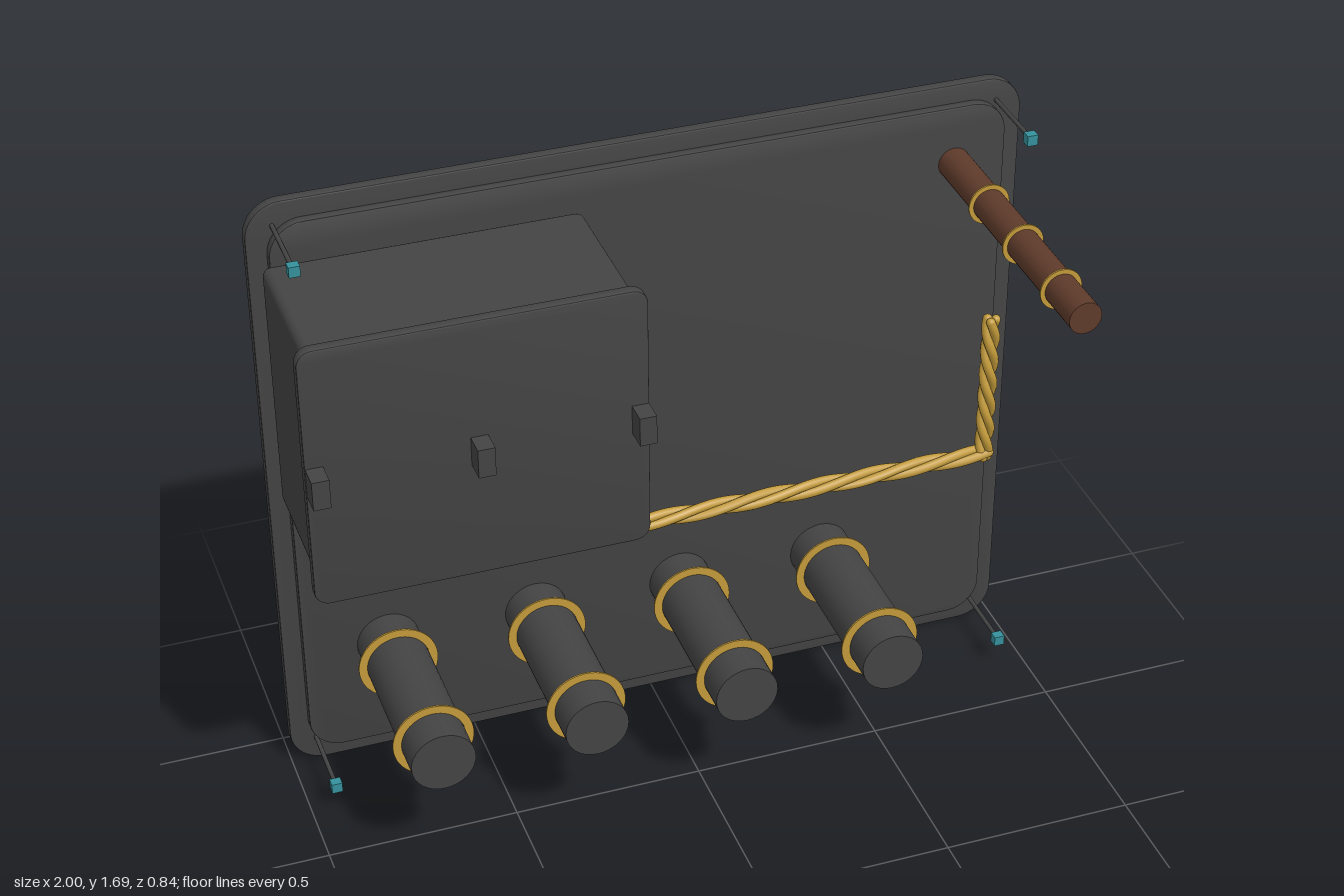
import * as THREE from 'three';
import { toCreasedNormals } from 'three/addons/utils/BufferGeometryUtils.js';
import { RoundedBoxGeometry } from 'three/addons/geometries/RoundedBoxGeometry.js';

const material = (name, color) => Object.assign(new THREE.MeshStandardMaterial({ color }), { name });

export function createModel() {
  const root = new THREE.Group();
  root.name = 'wallPanel';
  const iron = material('darkIron', 0x444444);
  const gold = material('brass', 0xc29a3a);
  const brown = material('brownPipe', 0x5f3b2b);
  const teal = material('teal', 0x35909c);

  const add = (name, geometry, mat, x, y, z) => {
    const mesh = new THREE.Mesh(geometry, mat);
    mesh.name = name;
    mesh.position.set(x, y, z);
    root.add(mesh);
    return mesh;
  };

  // Rounded rectangle slab, centred in x and y, spanning z = 0 to depth
  const slab = (w, h, r, depth, bevel = 0.004) => {
    const a = w / 2 - bevel, b = h / 2 - bevel, s = new THREE.Shape();
    s.absarc(a - r, b - r, r, 0, Math.PI / 2);
    s.absarc(r - a, b - r, r, Math.PI / 2, Math.PI);
    s.absarc(r - a, r - b, r, Math.PI, Math.PI * 1.5);
    s.absarc(a - r, r - b, r, Math.PI * 1.5, Math.PI * 2);
    const g = new THREE.ExtrudeGeometry(s, {
      depth: depth - 2 * bevel, bevelEnabled: true, bevelSize: bevel,
      bevelThickness: bevel, bevelSegments: 2, curveSegments: 10,
    });
    g.translate(0, 0, bevel);
    return toCreasedNormals(g, 0.6);
  };

  // Cylinder running along z between two depths
  const rod = (name, mat, x, y, r, z0, z1, sides = 32) => {
    const g = new THREE.CylinderGeometry(r, r, z1 - z0, sides).rotateX(Math.PI / 2);
    return add(name, g, mat, x, y, (z0 + z1) / 2);
  };

  // Thin flat collar around a pipe
  const collar = (name, x, y, inner, outer, z) => {
    const s = new THREE.Shape().absarc(0, 0, outer, 0, Math.PI * 2);
    s.holes.push(new THREE.Path().absarc(0, 0, inner, 0, Math.PI * 2, true));
    const g = new THREE.ExtrudeGeometry(s, { depth: 0.005, bevelEnabled: false, curveSegments: 24 });
    add(name, toCreasedNormals(g, 0.6), gold, x, y, z - 0.0025);
  };

  // Back board with a raised inner panel
  add('backBoard', slab(2, 1.69, 0.09, 0.03), iron, 0, 0.845, -0.42);
  add('innerPanel', slab(1.9, 1.59, 0.085, 0.027), iron, 0, 0.845, -0.392);

  // Cabinet, lid, lid clips and bottom plate
  add('cabinet', new RoundedBoxGeometry(0.8, 0.675, 0.4, 3, 0.022), iron, -0.573, 1.203, -0.163);
  add('cabinetLid', slab(0.845, 0.715, 0.035, 0.03), iron, -0.573, 1.203, 0.043);
  add('lidSeat', new THREE.BoxGeometry(0.76, 0.64, 0.03), iron, -0.573, 1.203, 0.04);
  add('cabinetBottomPlate', new THREE.BoxGeometry(0.55, 0.02, 0.23), iron, -0.573, 0.863, -0.21);
  for (const x of [-0.972, -0.573, -0.173]) {
    add('lidClip', new THREE.BoxGeometry(0.043, 0.078, 0.07), iron, x, 1.203, 0.097);
  }

  // Row of short stub pipes with two collars each
  for (let i = 0; i < 4; i++) {
    const x = -0.726 + i * 0.4;
    rod('stubPipe', iron, x, 0.357, 0.083, -0.368, 0.16);
    for (const z of [-0.265, 0.065]) collar('stubCollar', x, 0.357, 0.083, 0.105, z);
  }

  // Long slender pipe
  rod('longPipe', brown, 0.813, 1.483, 0.042, -0.368, 0.42);
  for (const z of [-0.145, 0.06, 0.28]) collar('longPipeCollar', 0.813, 1.483, 0.042, 0.054, z);

  // Twisted rope: three strands wound left-handed around a vertical axis
  const rope = (name, length, turns) => {
    const group = new THREE.Group();
    group.name = name;
    const steps = Math.round(turns * 14);
    for (let k = 0; k < 3; k++) {
      const points = [];
      for (let i = 0; i <= steps; i++) {
        const t = i / steps, a = t * turns * Math.PI * 2 + k * Math.PI * 2 / 3;
        points.push(new THREE.Vector3(Math.cos(a) * 0.0125, t * length, Math.sin(a) * 0.0125));
      }
      const curve = new THREE.CatmullRomCurve3(points);
      const strand = new THREE.Mesh(new THREE.TubeGeometry(curve, steps * 2, 0.0125, 10), gold);
      strand.name = 'ropeStrand';
      group.add(strand);
      // Close both ends of the strand
      for (const p of [points[0], points[steps]]) {
        const end = new THREE.Mesh(new THREE.SphereGeometry(0.0125, 10, 8), gold);
        end.name = 'strandEnd';
        end.position.copy(p);
        group.add(end);
      }
    }
    root.add(group);
    return group;
  };
  const across = rope('horizontalRope', 1.72, 4);
  across.rotation.z = -Math.PI / 2;
  across.position.set(-0.83, 0.667, -0.23);
  rope('verticalRope', 0.42, 2).position.set(0.88, 0.66, -0.23);

  // Corner pins tipped with small cubes
  for (const x of [-0.932, 0.932]) {
    for (const y of [0.072, 1.628]) {
      rod('cornerPin', iron, x, y, 0.006, -0.395, -0.18, 10);
      add('pinTip', new THREE.BoxGeometry(0.028, 0.028, 0.026), teal, x, y, -0.178);
    }
  }

  return root;
}
